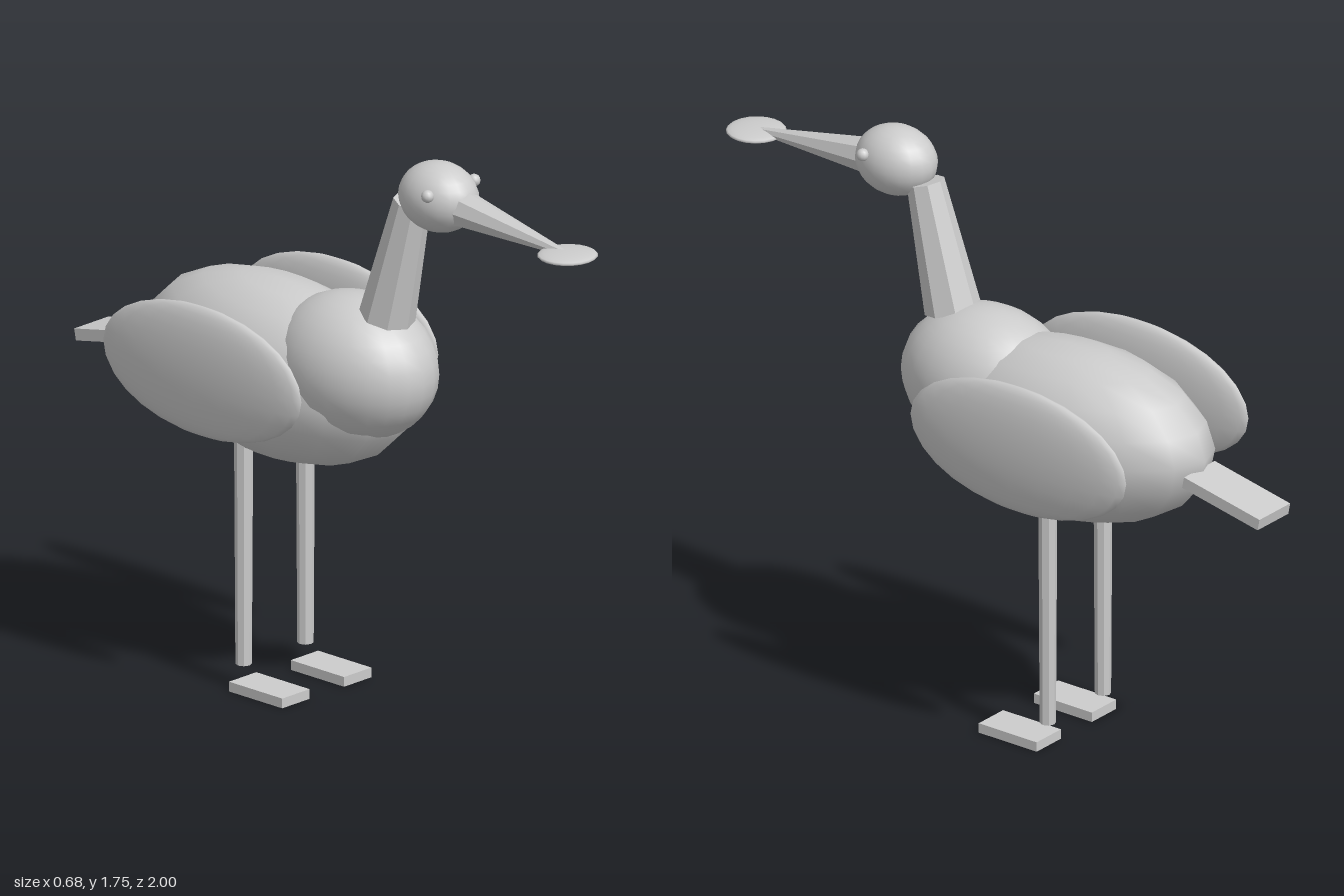
import * as THREE from 'three';

export function createModel() {
  const root = new THREE.Group();
  root.name = 'wadingBird';
  const grey = new THREE.MeshStandardMaterial({ color: 0xcccccc });
  grey.name = 'grey';

  const add = (name, geometry, x, y, z, tilt = 0) => {
    const mesh = new THREE.Mesh(geometry, grey);
    mesh.name = name;
    mesh.position.set(x, y, z);
    mesh.rotation.x = tilt;
    root.add(mesh);
    return mesh;
  };
  // Smooth ellipsoid from three radii
  const ellipsoid = (rx, ry, rz, w, h) => new THREE.SphereGeometry(1, w, h).scale(rx, ry, rz);
  // Faceted tapered rod between two points
  const rod = (name, from, to, r0, r1, sides) => {
    const a = new THREE.Vector3(...from), b = new THREE.Vector3(...to);
    const dir = b.clone().sub(a);
    let geo = new THREE.CylinderGeometry(r1, r0, dir.length(), sides).toNonIndexed();
    geo.computeVertexNormals();
    const mesh = add(name, geo, 0, 0, 0);
    mesh.position.copy(a).add(b).multiplyScalar(0.5);
    mesh.quaternion.setFromUnitVectors(new THREE.Vector3(0, 1, 0), dir.normalize());
    return mesh;
  };

  // Trunk and tail
  add('body', ellipsoid(0.25, 0.27, 0.5, 16, 10), 0, 0.965, -0.245, 0.06);
  add('chest', ellipsoid(0.207, 0.22, 0.275, 24, 16), 0, 1.04, 0.06);
  add('tail', new THREE.BoxGeometry(0.145, 0.036, 0.284), 0, 0.921, -0.858, -0.2);

  // Neck, head and spoon-shaped bill
  rod('neck', [0, 1.22, 0.187], [0, 1.6, 0.288], 0.084, 0.056, 8);
  add('head', ellipsoid(0.105, 0.105, 0.13, 20, 14), 0, 1.64, 0.395);
  rod('bill', [0, 1.626, 0.48], [0, 1.586, 0.92], 0.058, 0.008, 8);
  add('billTip', ellipsoid(0.09, 0.014, 0.088, 20, 10), 0, 1.585, 0.912);

  // Mirrored parts
  for (const [side, s] of [['left', 1], ['right', -1]]) {
    add(side + 'Eye', ellipsoid(0.019, 0.019, 0.019, 12, 8), s * 0.098, 1.676, 0.443);
    add(side + 'Wing', ellipsoid(0.05, 0.2, 0.398, 20, 14), s * 0.288, 1.01, -0.28);
    rod(side + 'Leg', [s * 0.13, 0.072, -0.265], [s * 0.13, 0.8, -0.265], 0.024, 0.028, 8);
    add(side + 'Foot', new THREE.BoxGeometry(0.115, 0.03, 0.214), s * 0.13, 0.015, -0.162);
  }
  return root;
}
